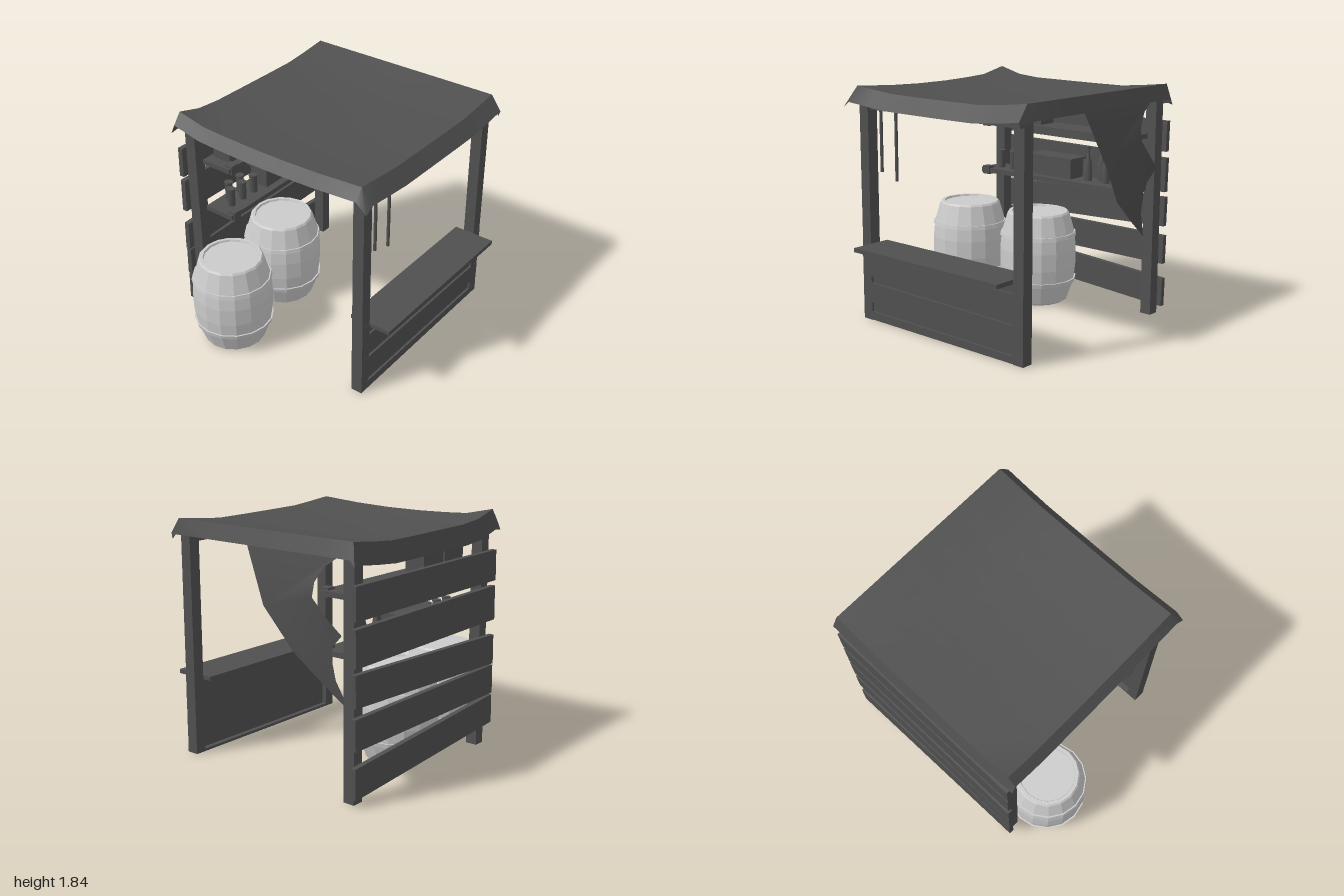
import * as THREE from 'three';
import { toCreasedNormals } from 'three/addons/utils/BufferGeometryUtils.js';

const wood = new THREE.MeshStandardMaterial({ color: 0x505050 });
const cloth = new THREE.MeshStandardMaterial({ color: 0x505050, side: THREE.DoubleSide });
const barrelMat = new THREE.MeshStandardMaterial({ color: 0xcccccc, flatShading: true });

export function createModel() {
  const root = new THREE.Group();

  const add = (name, geo, mat = wood, parent = root) => {
    const m = new THREE.Mesh(geo, mat);
    m.name = name;
    parent.add(m);
    return m;
  };
  // Box given by its limits on each axis
  const box = (name, x0, x1, y0, y1, z0, z1, parent = root) => {
    const m = add(name, new THREE.BoxGeometry(x1 - x0, y1 - y0, z1 - z0), wood, parent);
    m.position.set((x0 + x1) / 2, (y0 + y1) / 2, (z0 + z1) / 2);
    return m;
  };
  const group = (name) => {
    const g = new THREE.Group();
    g.name = name;
    root.add(g);
    return g;
  };
  const points = (list) => list.map((p) => new THREE.Vector2(...p));

  // Four corner posts and the front beam
  for (const x of [-0.67, 0.85]) {
    box('frontPost', x, x + 0.09, 0, 1.7, 0.66, 0.75);
    box('backPost', x, x + 0.09, 0, 1.7, -0.87, -0.78);
  }
  box('frontBeam', -0.58, 0.85, 1.63, 1.68, 0.67, 0.73);

  // Front panel: solid backing with boards that leave shallow, slightly crooked slots
  const panel = group('frontPanel');
  box('panelBacking', -0.62, 0.9, 0.01, 0.6, 0.7, 0.735, panel);
  box('panelSill', -0.6, 0.87, 0, 0.02, 0.66, 0.735, panel);
  for (const [a0, a1, b0, b1] of [[0.005, 0.07, 0.005, 0.06], [0.145, 0.3, 0.125, 0.28], [0.35, 0.505, 0.34, 0.505]]) {
    const s = new THREE.Shape(points([[-0.67, a0], [0.94, b0], [0.94, b1], [-0.67, a1]]));
    add('panelBoard', new THREE.ExtrudeGeometry(s, { depth: 0.022, bevelEnabled: false }), wood, panel)
      .position.z = 0.731;
  }
  for (const x of [-0.67, 0.85]) box('panelEdge', x, x + 0.09, 0.005, 0.6, 0.73, 0.752, panel);
  box('counter', -0.58, 0.85, 0.575, 0.607, 0.585, 0.92);

  // Crooked back boards: bottom at the right end, bottom at the left end, height
  const boards = group('backBoards');
  for (const [a, b, h] of [[1.295, 1.285, 0.235], [0.99, 0.97, 0.265], [0.64, 0.7, 0.23],
    [0.405, 0.4, 0.225], [0.165, 0.055, 0.225]]) {
    const s = new THREE.Shape(points([[-0.715, a], [0.975, b], [0.98, b + h], [-0.71, a + h]]));
    add('backBoard', new THREE.ExtrudeGeometry(s, { depth: 0.04, bevelEnabled: false }), wood, boards)
      .position.z = -0.915;
  }

  // Two shelves with end blocks along the front
  for (const [y, name] of [[1.39, 'upperShelf'], [0.985, 'lowerShelf']]) {
    box(name, -0.6, 0.87, y, y + 0.038, -0.775, -0.52);
    for (const x of [-0.58, 0.78]) box('shelfBlock', x, x + 0.07, y - 0.012, y + 0.055, -0.575, -0.51);
  }

  // Lidded crates
  for (const [x0, x1, y0, y1] of [[-0.52, -0.28, 1.428, 1.585], [-0.26, -0.015, 1.428, 1.585],
    [-0.12, 0.29, 1.023, 1.172]]) {
    const g = group('crate');
    box('crateBody', x0, x1, y0, y1, -0.74, -0.58, g);
    box('crateLid', x0 - 0.015, x1 + 0.015, y1, y1 + 0.015, -0.765, -0.565, g);
  }

  // Jars and bottles on the lower shelf
  for (let i = 0; i < 5; i++) {
    const x = -0.475 + i * 0.064, z = i % 2 ? -0.71 : -0.63;
    add('jar', new THREE.CylinderGeometry(0.03, 0.03, 0.14, 10)).position.set(x, 1.093, z);
    add('jarLid', new THREE.CylinderGeometry(0.034, 0.034, 0.014, 10)).position.set(x, 1.163, z);
  }
  const bottle = toCreasedNormals(new THREE.LatheGeometry(points([[0, 0], [0.033, 0], [0.033, 0.13],
    [0.014, 0.19], [0.014, 0.25], [0.02, 0.25], [0.02, 0.27], [0, 0.27]]), 10), 0.7);
  for (let i = 0; i < 4; i++)
    add('bottle', bottle).position.set(0.41 + i * 0.085, 1.023, i % 2 ? -0.71 : -0.65);

  // Rods hanging from the front beam
  for (const [x, low] of [[-0.48, 1.17], [-0.32, 1.12]])
    add('hangingRod', new THREE.CylinderGeometry(0.012, 0.012, 1.64 - low, 8))
      .position.set(x, (1.64 + low) / 2, 0.71);

  // Barrels with two hoops and a recessed lid
  const stave = points([[0, 0], [0.215, 0], [0.24, 0.015], [0.295, 0.17], [0.308, 0.3], [0.308, 0.44],
    [0.295, 0.57], [0.25, 0.725], [0.238, 0.74], [0.213, 0.74], [0.208, 0.725], [0, 0.725]]);
  const hoop = (y0, y1, r0, r1) => new THREE.LatheGeometry(
    points([[r0 - 0.03, y0], [r0, y0], [r1, y1], [r1 - 0.03, y1]]), 16);
  for (const [x, z] of [[-0.69, -0.468], [0, -0.54]]) {
    const g = group('barrel');
    g.position.set(x, 0, z);
    add('barrelBody', new THREE.LatheGeometry(stave, 16), barrelMat, g);
    add('lowerHoop', hoop(0.165, 0.198, 0.303, 0.31), barrelMat, g);
    add('upperHoop', hoop(0.542, 0.575, 0.31, 0.303), barrelMat, g);
  }

  // Cloth roof sagging between the posts, with a folded flap on every side
  const xs = [-0.76, -0.695, -0.5, -0.3, 0, 0.3, 0.55, 0.75, 0.96, 0.995];
  const tops = [1.8, 1.8, 1.782, 1.765, 1.762, 1.76, 1.76, 1.778, 1.803, 1.803];
  const zs = [-0.915, -0.88, -0.65, -0.45, -0.2, 0.1, 0.4, 0.745, 0.83];
  const nx = xs.length - 1, nz = zs.length - 1;
  const roof = new THREE.PlaneGeometry(1, 1, nx, nz);
  const rp = roof.attributes.position;
  for (let j = 0; j <= nz; j++) for (let i = 0; i <= nx; i++) {
    const u = (xs[i] - 0.13) / 0.82, v = (zs[j] + 0.06) / 0.81;
    const bow = Math.max(0, 1 - v * v);
    // the sag runs out through the right edge but not the left
    let y = tops[i] - 0.035 * bow * (u < 0 ? 1 : Math.max(0, 1 - u * u));
    if (i < 2 && j < 2) y += 0.035;
    const sideX = i === 0 || i === nx, sideZ = j === 0 || j === nz;
    if (sideX && sideZ) y -= 0.16;
    else if (sideZ) y -= j === 0 ? 0.15 : 0.115;
    else if (sideX) y -= i === 0 ? 0.085 : 0.115;
    // the front left corner is tucked in
    const tuck = i === nx && j === nz ? 0.03 : 0;
    rp.setXYZ(j * (nx + 1) + i, xs[i] - tuck, y, zs[j] - tuck / 2);
  }
  add('clothRoof', toCreasedNormals(roof, 0.6), cloth);

  // Torn cloth hanging on the left side, outlined in (z, y)
  const torn = new THREE.ShapeGeometry(new THREE.Shape(points([[0.12, 1.72], [0.1, 1.69], [-0.1, 1.28],
    [-0.33, 0.97], [-0.55, 0.79], [-0.775, 0.62], [-0.68, 0.83], [-0.665, 1.0], [-0.69, 1.08], [-0.78, 1.17],
    [-0.66, 1.28], [-0.545, 1.4], [-0.55, 1.5], [-0.62, 1.61], [-0.74, 1.69], [-0.75, 1.72]])));
  const tp = torn.attributes.position;
  for (let i = 0; i < tp.count; i++) {
    const z = tp.getX(i), y = tp.getY(i);
    const x = y > 1.35 ? 0.92 + (1.72 - y) * 0.19 : 0.99 - (1.35 - y) * 0.18;
    tp.setXYZ(i, x, y, z);
  }
  torn.computeVertexNormals();
  add('tornCloth', torn, cloth);

  return root;
}
